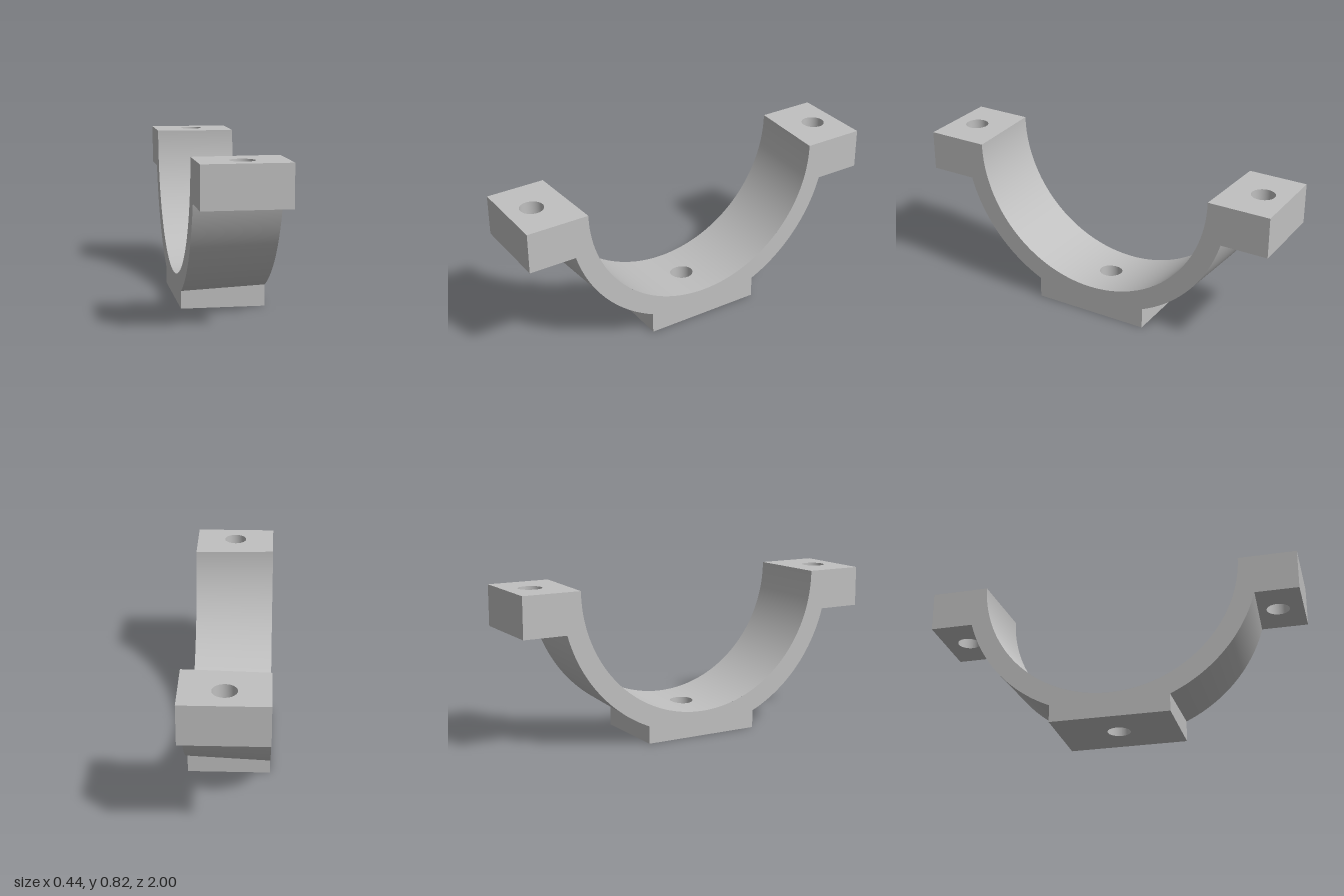
import * as THREE from 'three';
import { mergeGeometries } from 'three/addons/utils/BufferGeometryUtils.js';

const W = 0.218, H = 0.825, LUG_Y = 0.612, PAD_Z = 0.318; // half width, top, lug underside, half pad length
const HOLE_R = 0.061, LUG_HOLE_Z = 0.865, PATCH_Z = 0.2, N = 64;
const V = (x, y, z) => new THREE.Vector3(x, y, z);

// The bore and the outside of the ring taper along x
const inner = x => 0.682 - 0.01 * x / W;
const outer = x => 0.789 - 0.009 * x / W;
const boreY = (x, z) => H - Math.sqrt(inner(x) ** 2 - z * z);
const outerZ = (x, y) => Math.sqrt(outer(x) ** 2 - (H - y) ** 2);

// Strip of quads between two rows of points
function loft(a, b) {
  const g = new THREE.BufferGeometry().setFromPoints([...a, ...b]);
  const n = a.length, index = [];
  for (let i = 0; i < n - 1; i++) index.push(i, i + 1, n + i, i + 1, n + i + 1, n + i);
  g.setIndex(index);
  g.computeVertexNormals();
  return g;
}

// Smooth normals pointing from a tapered ring to its axis (sign 1) or away (sign -1)
function coneNormals(g, sign) {
  const p = g.attributes.position, slope = sign > 0 ? -0.01 / W : -0.009 / W;
  for (let i = 0; i < p.count; i++) {
    const n = V(0, H - p.getY(i), -p.getZ(i)).normalize();
    n.x = slope;
    n.normalize().multiplyScalar(sign);
    g.attributes.normal.setXYZ(i, n.x, n.y, n.z);
  }
  return g;
}

// Points of an arc about the ring axis, by angle from straight down
function arc(x, r, t0, t1, n = 48) {
  return Array.from({ length: n + 1 }, (_, i) => {
    const t = t0 + (t1 - t0) * i / n;
    return V(x, H - r * Math.cos(t), r * Math.sin(t));
  });
}
const outerArc = x => {
  const r = outer(x);
  return arc(x, r, Math.asin(PAD_Z / r), Math.acos((H - LUG_Y) / r));
};
const padTop = x => H - Math.sqrt(outer(x) ** 2 - PAD_Z ** 2);

// Closed loop around a hole: k = 0 is the hole rim, k = 1 the edge of the face
function ring(k, zc, z0, z1, yAt) {
  return Array.from({ length: N + 1 }, (_, i) => {
    const t = i / N * Math.PI * 2, c = Math.cos(t), s = Math.sin(t);
    const m = Math.max(Math.abs(c), Math.abs(s));
    const ex = W * c / m, f = (s / m + 1) / 2;
    const ez = z0(ex) + (z1(ex) - z0(ex)) * f;
    const x = HOLE_R * c * (1 - k) + ex * k;
    const z = (zc + HOLE_R * s) * (1 - k) + ez * k;
    return V(x, yAt(x, z), z);
  });
}
const at = v => () => v;

export function createModel() {
  const group = new THREE.Group();
  const metal = new THREE.MeshStandardMaterial({ color: 0xc0c0c0 });
  metal.name = 'light grey metal';
  const add = (name, geometry) => {
    const mesh = new THREE.Mesh(geometry, metal);
    mesh.name = name;
    group.add(mesh);
  };

  // Flat side faces with the whole bracket profile
  for (const side of [-1, 1]) {
    const x = side * W, r = inner(x);
    const half = [V(x, 0, PAD_Z), ...outerArc(x), V(x, LUG_Y, 1), V(x, H, 1)];
    const bore = arc(x, r, Math.PI / 2, -Math.PI / 2, 120);
    const left = half.map(p => V(x, p.y, -p.z)).reverse();
    const shape = new THREE.Shape([...half, ...bore, ...left].map(p => new THREE.Vector2(p.z, p.y)));
    const face = new THREE.ShapeGeometry(shape);
    face.rotateY(side * Math.PI / 2).translate(x, 0, 0);
    add(side > 0 ? 'leftFace' : 'rightFace', face);
  }

  for (const s of [1, -1]) {
    const end = s > 0 ? 'front' : 'back';
    // Strip across the width, mirrored for the back half
    const across = row => {
      const [a, b] = [W, -W].map(x => row(x).map(p => V(p.x, p.y, p.z * s)));
      return s > 0 ? loft(a, b) : loft(b, a);
    };
    add(end + 'PadSide', across(x => [V(x, 0, PAD_Z), V(x, padTop(x), PAD_Z)]));
    add(end + 'RingOutside', coneNormals(across(outerArc), -1));
    add(end + 'LugEnd', across(x => [V(x, LUG_Y, 1), V(x, H, 1)]));
    add(end + 'Bore', coneNormals(across(x =>
      arc(x, inner(x), Math.PI / 2, Math.asin(PATCH_Z / inner(x)))), 1));

    // Lug top and underside with the bolt hole
    const zc = s * LUG_HOLE_Z;
    const plate = (k, edge, y) => s > 0
      ? ring(k, zc, edge, at(1), at(y))
      : ring(k, zc, at(-1), x => -edge(x), at(y));
    const under = x => outerZ(x, LUG_Y);
    add(end + 'LugTop', loft(plate(0, inner, H), plate(1, inner, H)));
    add(end + 'LugUnderside', loft(plate(1, under, LUG_Y), plate(0, under, LUG_Y)));
    add(end + 'LugHole', loft(plate(0, under, LUG_Y), plate(0, inner, H)));
  }

  // Bottom of the bore, around the centre hole
  const patch = k => ring(k, 0, at(-PATCH_Z), at(PATCH_Z), boreY);
  const rows = Array.from({ length: 8 }, (_, i) => loft(patch(i / 8), patch((i + 1) / 8)));
  add('boreBottom', coneNormals(mergeGeometries(rows), 1));

  // Base pad underside and centre hole
  const base = k => ring(k, 0, at(-PAD_Z), at(PAD_Z), at(0));
  add('padUnderside', loft(base(1), base(0)));
  add('centreHole', loft(base(0), patch(0)));
  return group;
}
